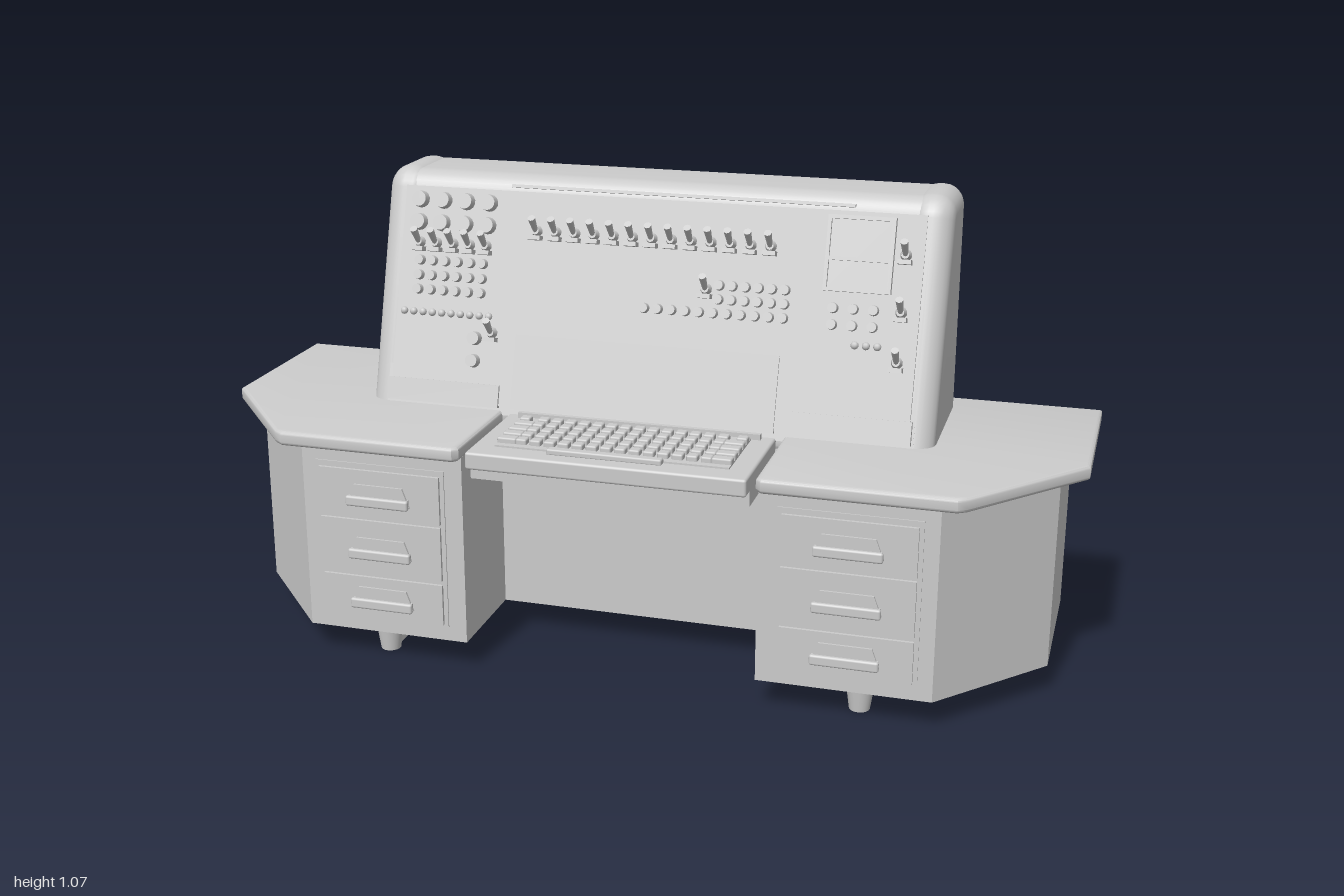
import * as THREE from 'three';
import { toCreasedNormals } from 'three/addons/utils/BufferGeometryUtils.js';
import { RoundedBoxGeometry } from 'three/addons/geometries/RoundedBoxGeometry.js';

const material = new THREE.MeshStandardMaterial({ color: 0xcccccc });
const SLOPE = 0.306, TILT = Math.atan(SLOPE);

function add(parent, name, geometry, x = 0, y = 0, z = 0) {
  const mesh = new THREE.Mesh(geometry, material);
  mesh.name = name;
  mesh.position.set(x, y, z);
  parent.add(mesh);
  return mesh;
}

const box = (w, h, d) => new THREE.BoxGeometry(w, h, d);

// Horizontal slab from a plan outline of [x, z] points
function slab(points, y0, y1, bevel = 0) {
  const shape = new THREE.Shape(points.map(([x, z]) => new THREE.Vector2(x, -z)));
  const geo = new THREE.ExtrudeGeometry(shape, {
    depth: y1 - y0 - 2 * bevel, bevelEnabled: bevel > 0, bevelSize: bevel,
    bevelThickness: bevel, bevelOffset: -bevel, bevelSegments: 3,
  });
  geo.rotateX(-Math.PI / 2).translate(0, y0 + bevel, 0);
  return toCreasedNormals(geo, 0.6);
}

// Mirror a half outline (x > 0, from back to notch) into a full plan
const mirrored = half => [...half, ...half.map(([x, z]) => [-x, z]).reverse()];

// Side profile of the sloping cabinet, inset by d, upper corners rounded by r
function cabinetProfile(d, r, bottom) {
  const front = y => 0.06 - SLOPE * (y - 0.55) - d * 1.046;
  const top = 1.07 - d, back = -0.31 + d;
  const s = new THREE.Shape();
  s.moveTo(-front(bottom + d), bottom + d);
  s.lineTo(-back, bottom + d);
  s.lineTo(-back, top - r);
  s.quadraticCurveTo(-back, top, -back - r, top);
  s.lineTo(-front(top) + r, top);
  s.quadraticCurveTo(-front(top), top, -front(top - r), top - r);
  s.closePath();
  return s;
}

function buildCabinet(root) {
  const g = new THREE.Group();
  g.name = 'controlCabinet';
  root.add(g);
  const middle = new THREE.ExtrudeGeometry(cabinetProfile(0.005, 0.04, 0.53), { depth: 1.24, bevelEnabled: false, curveSegments: 8 });
  middle.rotateY(Math.PI / 2).translate(-0.62, 0, 0);
  add(g, 'cabinetBody', toCreasedNormals(middle, 0.6));

  // Rounded end caps; their lower bevel is buried in the desk
  const cap = new THREE.ExtrudeGeometry(cabinetProfile(0.045, 0.012, 0.45), {
    depth: 0.01, bevelSize: 0.045, bevelThickness: 0.045, bevelSegments: 6, curveSegments: 5,
  });
  cap.rotateY(Math.PI / 2);
  const capGeo = toCreasedNormals(cap, 0.6);
  for (const s of [-1, 1]) add(g, 'endCap', capGeo, s * 0.615 - 0.005, 0, 0);
  add(g, 'rearSkirt', box(1.23, 0.025, 0.02), 0, 0.557, -0.302);
}

function buildPanel(root) {
  const p = new THREE.Group();
  p.name = 'controlPanel';
  p.position.set(0, 0.55, 0.055);
  p.rotation.x = -TILT;
  root.add(p);
  const V = y => (y - 0.55) / Math.cos(TILT);
  const plate = (name, x0, x1, y0, y1, z, t) =>
    add(p, name, box(x1 - x0, V(y1) - V(y0), t), (x0 + x1) / 2, (V(y0) + V(y1)) / 2, z);

  plate('facePlate', -0.61, 0.61, 0.555, 1.03, 0, 0.014);
  plate('typewriterCover', -0.31, 0.31, 0.55, 0.715, 0.006, 0.01);
  for (const s of [-1, 1]) plate('footPlate', s * 0.478 - 0.137, s * 0.478 + 0.137, 0.55, 0.6, 0.006, 0.014);
  plate('topHinge', -0.35, 0.45, 1.038, 1.045, 0, 0.012);

  // Round controls
  const disc = (r, h) => new THREE.CylinderGeometry(r * 0.85, r, h, 14).rotateX(Math.PI / 2);
  const dial = disc(0.021, 0.03), button = disc(0.0125, 0.022), lamp = new THREE.SphereGeometry(0.009, 10, 8);
  const grid = (name, geo, x0, x1, n, ys) => {
    for (const y of ys) for (let i = 0; i < n; i++)
      add(p, name, geo, n > 1 ? x0 + (x1 - x0) * i / (n - 1) : x0, V(y), 0.012);
  };
  grid('dial', dial, -0.57, -0.4, 4, [1.0, 0.95]);
  grid('button', button, -0.56, -0.405, 6, [0.865, 0.832, 0.8]);
  grid('lamp', lamp, -0.59, -0.38, 10, [0.75]);
  grid('dial', disc(0.017, 0.03), -0.41, -0.41, 1, [0.7, 0.65]);
  grid('button', button, -0.01, 0.31, 11, [0.795]);
  grid('button', button, 0.16, 0.31, 6, [0.825, 0.855]);
  grid('button', button, 0.42, 0.51, 3, [0.825, 0.79]);
  grid('lamp', lamp, 0.475, 0.525, 3, [0.75]);

  // Toggle levers: foot, tilted stick and rounded tip
  const foot = new THREE.CylinderGeometry(0.009, 0.015, 0.022, 10).rotateX(Math.PI / 2);
  const stick = new THREE.CylinderGeometry(0.009, 0.006, 0.045, 8);
  const fork = box(0.03, 0.01, 0.03);
  const lever = (x, y) => {
    const l = new THREE.Group();
    l.name = 'toggleLever';
    l.position.set(x, V(y), 0.012);
    p.add(l);
    add(l, 'leverFoot', foot);
    add(l, 'leverBracket', fork, 0, -0.016, 0.004);
    add(l, 'leverStick', stick, 0, 0.013, 0.024).rotation.x = 0.95;
  };
  for (let i = 0; i < 5; i++) lever(-0.565 + i * 0.041, 0.905);
  for (let i = 0; i < 13; i++) lever(-0.28 + i * 0.0458, 0.945);
  for (const [x, y] of [[-0.37, 0.715], [0.13, 0.845], [0.57, 0.945], [0.57, 0.825], [0.57, 0.72]]) lever(x, y);

  // Square meter with a raised rim
  plate('meterFace', 0.4, 0.54, 0.865, 1.015, 0.008, 0.012);
  for (const x of [0.395, 0.537]) plate('meterRim', x, x + 0.008, 0.86, 1.02, 0.012, 0.02);
  for (const y of [0.86, 0.925, 1.012]) plate('meterRim', 0.395, 0.545, y, y + 0.008, 0.012, 0.02);
}

function buildKeyboard(root) {
  const g = new THREE.Group();
  g.name = 'keyboard';
  root.add(g);
  add(g, 'tray', new RoundedBoxGeometry(0.63, 0.04, 0.29, 2, 0.006), 0, 0.52, 0.195);
  add(g, 'trayUnderside', box(0.63, 0.04, 0.25), 0, 0.488, 0.18);
  add(g, 'keyBed', box(0.53, 0.006, 0.2), 0, 0.541, 0.185);
  add(g, 'rearBar', box(0.57, 0.014, 0.012), 0, 0.546, 0.075);
  const key = new RoundedBoxGeometry(0.025, 0.016, 0.025, 1, 0.004);
  const wide = new RoundedBoxGeometry(0.045, 0.016, 0.025, 1, 0.004);
  for (let row = 0; row < 5; row++) {
    const z = 0.112 + row * 0.036;
    for (let i = 0; i < 14; i++) add(g, 'key', key, -0.21 + i * 0.0323, 0.548, z);
    for (const s of [-1, 1]) add(g, 'wideKey', row ? wide : key, s * (row ? 0.2335 : 0.243) + 0.01 * (s < 0 ? -1 : 1), 0.548, z);
  }
  add(g, 'spaceBar', new RoundedBoxGeometry(0.26, 0.014, 0.022, 1, 0.004), -0.01, 0.545, 0.292);
}

function buildDrawers(root, side) {
  const g = new THREE.Group();
  g.name = 'drawerStack';
  g.position.x = side * 0.532;
  root.add(g);
  add(g, 'drawerSurround', box(0.31, 0.375, 0.012), 0, 0.291, 0.307);
  // Backplate tapers towards its top
  const plate = new THREE.Shape([[-0.075, 0], [0.075, 0], [0.058, 0.045], [-0.058, 0.045]].map(a => new THREE.Vector2(...a)));
  const plateGeo = new THREE.ExtrudeGeometry(plate, { depth: 0.006, bevelEnabled: false });
  const grip = new RoundedBoxGeometry(0.15, 0.024, 0.012, 2, 0.005);
  const post = box(0.02, 0.02, 0.018);
  for (const [y0, y1, h] of [[0.352, 0.465, 0.395], [0.217, 0.345, 0.267], [0.11, 0.207, 0.146]]) {
    add(g, 'drawerFront', box(0.29, y1 - y0, 0.02), 0, (y0 + y1) / 2, 0.31);
    add(g, 'handlePlate', plateGeo, 0, h - 0.008, 0.319);
    add(g, 'handleGrip', grip, 0, h, 0.331);
    for (const s of [-1, 1]) add(g, 'handlePost', post, s * 0.062, h, 0.324);
  }
}

export function createModel() {
  const root = new THREE.Group();
  root.name = 'controlDesk';

  // Desk body and top, both with clipped front corners and a knee space
  add(root, 'deskBody', slab(mirrored([[0.94, -0.305], [0.94, 0.06], [0.72, 0.31], [0.335, 0.31], [0.335, 0.06]]), 0.07, 0.515));
  add(root, 'deskTop', slab(mirrored([[1, -0.345], [1, 0.06], [0.775, 0.327], [0.755, 0.34],
    [0.345, 0.34], [0.333, 0.328], [0.333, 0.055]]), 0.512, 0.545, 0.008));

  // Tapered legs joined by rails
  const leg = new THREE.CylinderGeometry(0.034, 0.023, 0.075, 20);
  for (const x of [-0.555, 0.555]) {
    for (const z of [-0.25, 0.24]) add(root, 'leg', leg, x, 0.0375, z);
    add(root, 'sideRail', box(0.03, 0.07, 0.49), x, 0.037, -0.005);
  }
  add(root, 'rearRail', box(1.11, 0.07, 0.03), 0, 0.037, -0.25);

  for (const s of [-1, 1]) buildDrawers(root, s);
  buildCabinet(root);
  buildPanel(root);
  buildKeyboard(root);
  return root;
}
